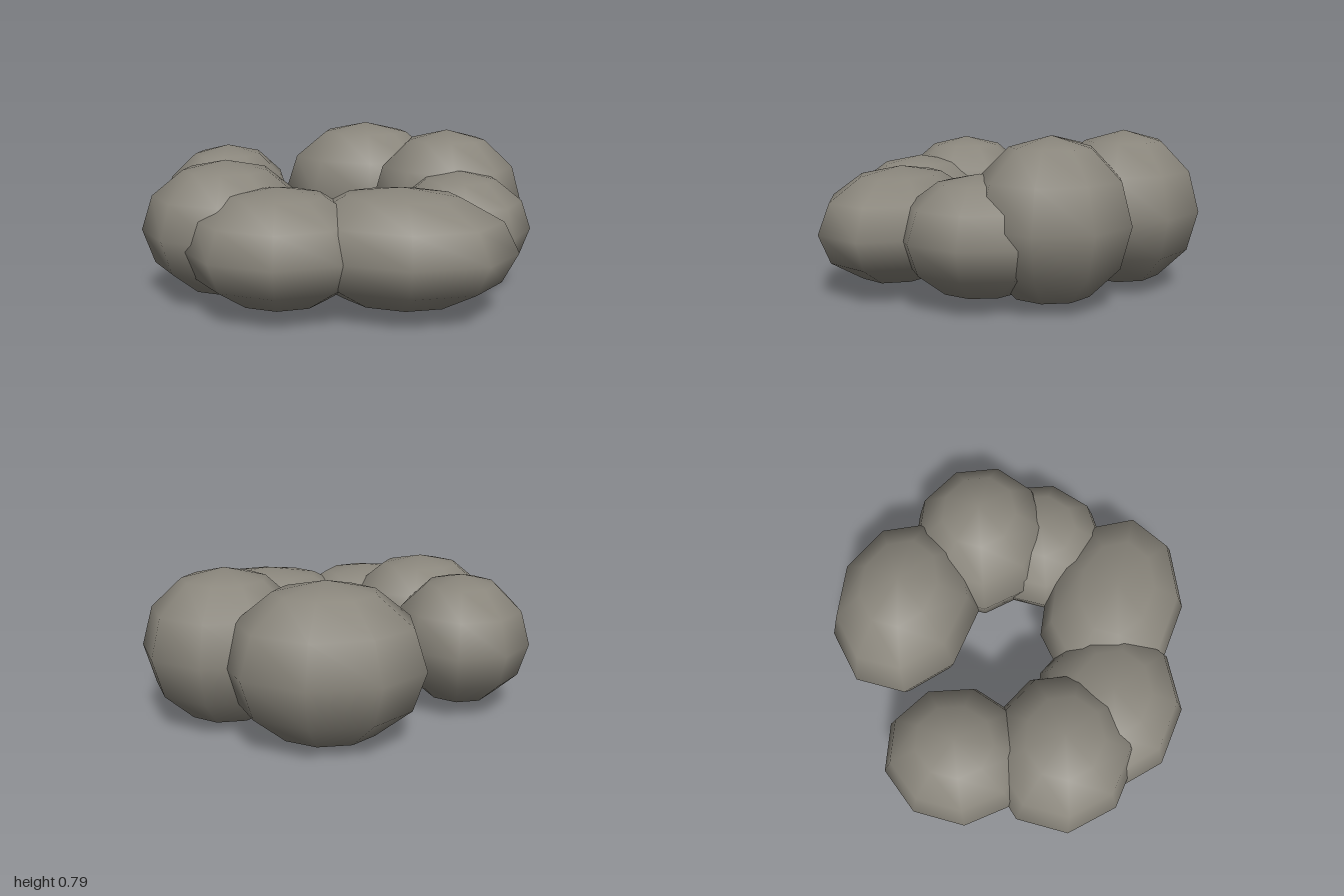
import * as THREE from 'three';

export function createModel() {
  const group = new THREE.Group();
  group.name = 'stoneRing';
  const stone = new THREE.MeshStandardMaterial({ color: 0x8a867c });
  stone.name = 'warm grey stone';

  // One low-sided rounded boulder, with a vertex pointing to +x
  const geometry = new THREE.SphereGeometry(1, 9, 6, Math.PI, Math.PI * 2);

  // Broken ring of boulders: x, z, half width, half height, half depth, centre height
  const boulders = [
    ['backBoulder', 0.04, -0.595, 0.49, 0.395, 0.39, 0.4],
    ['backLeftBoulder', 0.54, -0.315, 0.42, 0.395, 0.39, 0.4],
    ['leftBoulder', 0.63, 0, 0.37, 0.29, 0.39, 0.33],
    ['frontLeftBoulder', 0.38, 0.485, 0.55, 0.29, 0.39, 0.33],
    ['frontBoulder', -0.19, 0.59, 0.46, 0.29, 0.395, 0.33],
    ['frontRightBoulder', -0.5, 0.41, 0.425, 0.34, 0.39, 0.37],
    ['rightBoulder', -0.66, -0.1, 0.36, 0.34, 0.39, 0.37],
  ];
  for (const [name, x, z, rx, ry, rz, y] of boulders) {
    const mesh = new THREE.Mesh(geometry, stone);
    mesh.name = name;
    mesh.position.set(x, y, z);
    mesh.scale.set(rx, ry, rz);
    group.add(mesh);
  }
  return group;
}
